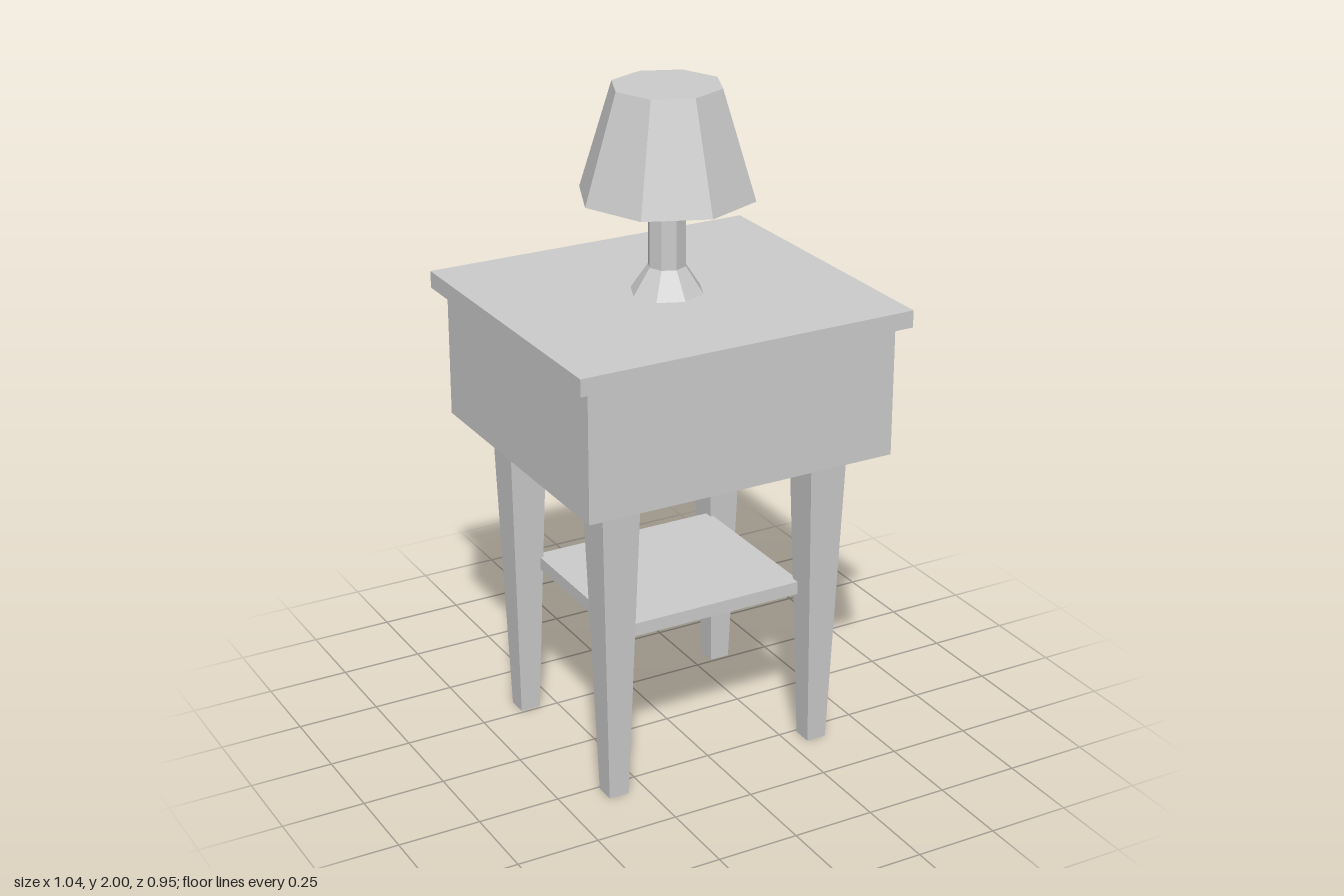
import * as THREE from 'three';

const material = new THREE.MeshStandardMaterial({ color: 0xcccccc, flatShading: true });

function addMesh(parent, name, geometry, x, y, z) {
  const mesh = new THREE.Mesh(geometry, material);
  mesh.name = name;
  mesh.position.set(x, y, z);
  parent.add(mesh);
  return mesh;
}

// Box given by its width, depth and bottom and top heights
function addSlab(parent, name, width, depth, y0, y1) {
  return addMesh(parent, name, new THREE.BoxGeometry(width, y1 - y0, depth), 0, (y0 + y1) / 2, 0);
}

// Eight-sided frustum between two heights
function addFrustum(parent, name, rBottom, rTop, y0, y1) {
  return addMesh(parent, name, new THREE.CylinderGeometry(rTop, rBottom, y1 - y0, 8), 0, (y0 + y1) / 2, 0);
}

// Square leg tapering towards the floor
function legGeometry(height, halfBottom, halfTop) {
  const geometry = new THREE.BoxGeometry(2 * halfTop, height, 2 * halfTop);
  const p = geometry.attributes.position;
  const taper = halfBottom / halfTop;
  for (let i = 0; i < p.count; i++) {
    if (p.getY(i) < 0) p.setXYZ(i, p.getX(i) * taper, p.getY(i), p.getZ(i) * taper);
  }
  geometry.computeVertexNormals();
  return geometry;
}

export function createModel() {
  const model = new THREE.Group();
  model.name = 'bedsideTableWithLamp';

  // Table
  const table = new THREE.Group();
  table.name = 'table';
  model.add(table);
  addSlab(table, 'tableTop', 1.044, 0.95, 1.346, 1.397);
  addSlab(table, 'cabinetBody', 0.97, 0.886, 0.954, 1.346);
  addSlab(table, 'lowerShelf', 0.6, 0.54, 0.477, 0.517);

  // Four mirrored legs
  const leg = legGeometry(0.954, 0.031, 0.06);
  for (const [sx, side] of [[1, 'Left'], [-1, 'Right']]) {
    for (const [sz, end] of [[1, 'front'], [-1, 'back']]) {
      addMesh(table, `${end}${side}Leg`, leg, sx * 0.337, 0.477, sz * 0.29);
    }
  }

  // Lamp
  const lamp = new THREE.Group();
  lamp.name = 'lamp';
  model.add(lamp);
  addFrustum(lamp, 'lampBase', 0.108, 0.056, 1.397, 1.475);
  addFrustum(lamp, 'lampStem', 0.056, 0.056, 1.475, 1.685);
  addFrustum(lamp, 'lampShade', 0.258, 0.16, 1.685, 2);

  return model;
}
